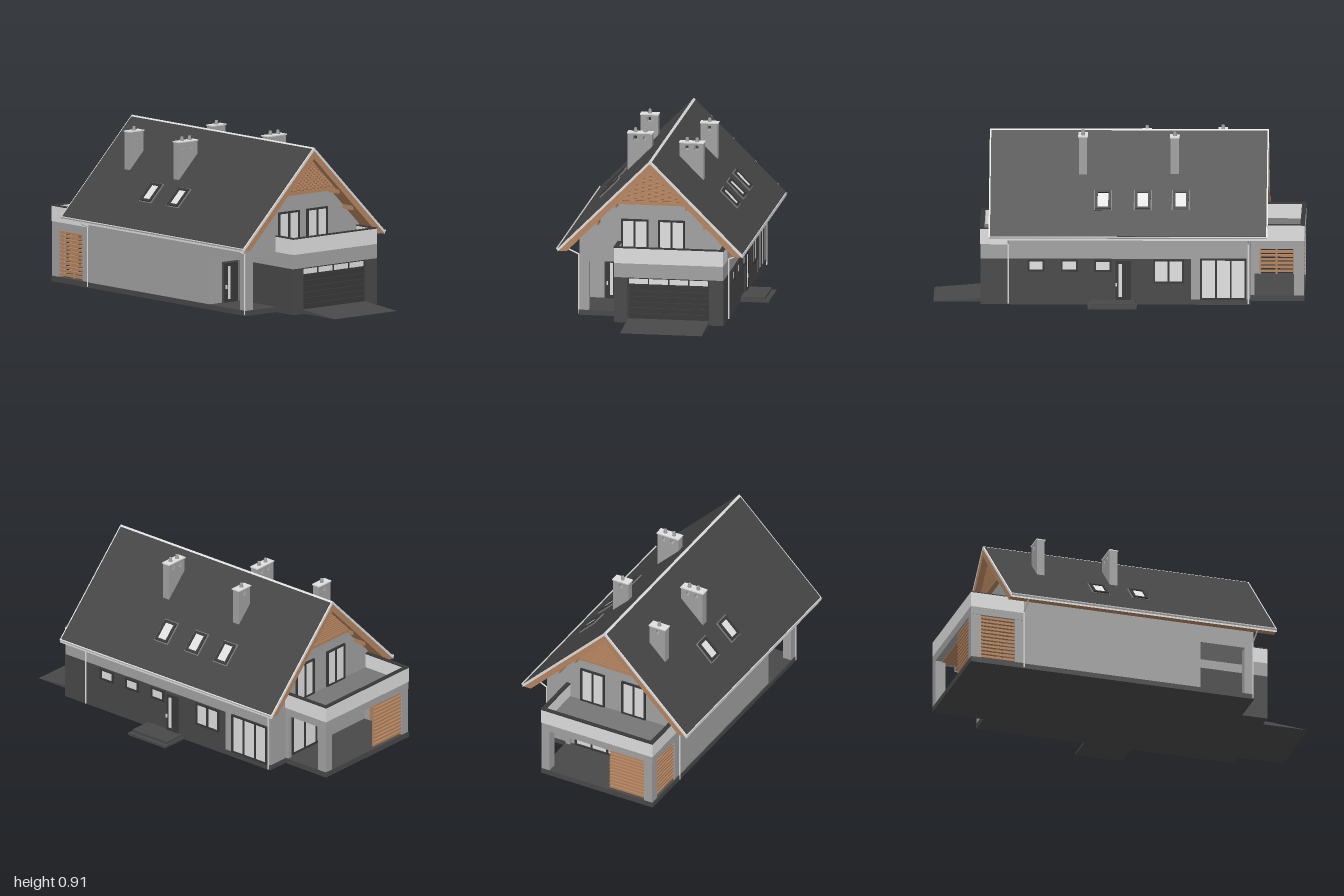
import * as THREE from 'three';

const mat = (name, color, side = THREE.FrontSide) => {
  const m = new THREE.MeshStandardMaterial({ color, side });
  m.name = name;
  return m;
};

export function createModel() {
  const house = new THREE.Group();
  house.name = 'house';
  const wall = mat('grey render', 0xa2a2a2);
  const dark = mat('dark cladding', 0x484848);
  const roofMat = mat('roof covering', 0x444444);
  const frame = mat('dark frame', 0x383838);
  const light = mat('light metal', 0xdedede, THREE.DoubleSide);
  const glass = mat('pale glass', 0xe0e0e0);
  const wood = mat('wood', 0xb58560);
  const woodDark = mat('shaded wood', 0x6e4d36);
  const deck = mat('deck grey', 0x767676);

  const CX = -0.03, RIDGE = 0.89; // ridge line; both slopes are 45 degrees
  const roofY = x => RIDGE - Math.abs(x - CX);

  const add = (name, geo, m, parent = house) => {
    const mesh = new THREE.Mesh(geo, m);
    mesh.name = name;
    parent.add(mesh);
    return mesh;
  };
  const box = (name, m, x0, x1, y0, y1, z0, z1, parent = house) => {
    const mesh = add(name, new THREE.BoxGeometry(x1 - x0, y1 - y0, z1 - z0), m, parent);
    mesh.position.set((x0 + x1) / 2, (y0 + y1) / 2, (z0 + z1) / 2);
    return mesh;
  };
  const poly = pts => new THREE.Shape(pts.map(p => new THREE.Vector2(...p)));
  const rect = (x0, x1, y0, y1) => poly([[x0, y0], [x1, y0], [x1, y1], [x0, y1]]);
  const prism = (name, m, shape, z0, z1, parent = house) => {
    const mesh = add(name, new THREE.ExtrudeGeometry(shape, { depth: z1 - z0, bevelEnabled: false }), m, parent);
    mesh.position.z = z0;
    return mesh;
  };
  const rod = (name, m, a, b, r) => {
    const p = new THREE.Vector3(...a), q = new THREE.Vector3(...b), d = q.clone().sub(p);
    const mesh = add(name, new THREE.CylinderGeometry(r, r, d.length(), 10), m);
    mesh.position.copy(p).add(q).multiplyScalar(0.5);
    mesh.quaternion.setFromUnitVectors(new THREE.Vector3(0, 1, 0), d.normalize());
  };

  // Framed window with n panes, facing local +z
  const win = (name, w, h, n, x, y, z, ry = 0, bar = 0.01) => {
    const g = new THREE.Group();
    g.name = name;
    g.rotation.order = 'YXZ';
    g.position.set(x, y, z);
    g.rotation.y = ry;
    const s = rect(-w / 2, w / 2, -h / 2, h / 2), pw = (w - bar) / n;
    for (let i = 0; i < n; i++) {
      const x0 = -w / 2 + bar + i * pw;
      s.holes.push(rect(x0, x0 + pw - bar, -h / 2 + bar, h / 2 - bar));
    }
    prism(name + 'Frame', frame, s, -0.004, 0.01, g);
    box(name + 'Glass', glass, -w / 2 + 0.004, w / 2 - 0.004, -h / 2 + 0.004, h / 2 - 0.004, -0.002, 0.004, g);
    house.add(g);
    return g;
  };

  // Plinth, steps and drive
  box('plinth', dark, -0.435, 0.379, 0, 0.028, -0.712, 0.603);
  box('terraceFloor', dark, -0.435, 0.253, 0, 0.03, -1, -0.7);
  box('garagePlinth', dark, -0.22, 0.379, 0, 0.02, 0.6, 0.745);
  box('sideStepUpper', dark, 0.37, 0.51, 0.012, 0.026, -0.09, 0.155);
  box('sideStepLower', dark, 0.37, 0.535, 0, 0.013, -0.1, 0.165);
  const ramp = prism('driveway', dark, poly([[-1, 0], [-0.735, 0], [-0.735, 0.022]]), 0, 0.445);
  ramp.rotation.y = Math.PI / 2;
  ramp.position.set(-0.145, 0, 0);

  // Ground floor walls, with the open porch at the front corner
  box('groundFloor', wall, -0.43, 0.375, 0.02, 0.33, -0.71, 0.3);
  box('garageUpperBand', wall, -0.22, 0.377, 0.25, 0.33, 0.3, 0.745);
  box('garageBody', dark, -0.219, 0.376, 0.01, 0.25, 0.3, 0.725);
  box('garagePierRight', dark, -0.22, -0.145, 0, 0.25, 0.6, 0.745);
  box('garagePierLeft', dark, 0.3, 0.377, 0, 0.25, 0.6, 0.745);
  box('sideCladding', dark, 0.37, 0.379, 0, 0.25, -0.39, 0.744);
  box('porchColumn', wall, -0.43, -0.38, 0.02, 0.31, 0.55, 0.6);
  box('porchCeiling', wall, -0.43, -0.21, 0.3, 0.34, 0.29, 0.6);

  // Upper floor with gables
  prism('upperFloor', wall, poly([[-0.43, 0.32], [0.375, 0.32], [0.375, 0.428], [CX, 0.833], [-0.43, 0.433]]), -0.71, 0.6);

  // Garage door
  for (let i = 0; i < 6; i++) box('garageDoorPanel', frame, -0.143, 0.298, 0.022 + i * 0.031, 0.05 + i * 0.031, 0.72, 0.733);
  win('garageDoorLight', 0.445, 0.042, 4, 0.0775, 0.228, 0.725, 0, 0.006);

  // Front and side entrance doors
  const door = (name, w, h, x, y, z, ry) => {
    const g = new THREE.Group();
    g.name = name;
    g.position.set(x, y, z);
    g.rotation.y = ry;
    box(name + 'Frame', dark, -w / 2, w / 2, 0, h, -0.002, 0.008, g);
    box(name + 'Leaf', frame, -w / 2 + 0.008, w / 2 - 0.008, 0, h - 0.008, 0, 0.012, g);
    box(name + 'Glass', glass, -0.024, -0.006, 0.018, h - 0.025, 0.01, 0.014, g);
    box(name + 'Handle', light, -0.04, -0.034, 0.075, 0.095, 0.01, 0.02, g);
    house.add(g);
  };
  door('frontDoor', 0.11, 0.222, -0.287, 0.028, 0.3, 0);
  door('sideDoor', 0.1, 0.222, -0 + 0.377, 0.026, -0.025, Math.PI / 2);

  // Windows
  const R = Math.PI / 2;
  [0.445, 0.265, 0.085].forEach(z => win('smallSideWindow', 0.092, 0.065, 1, 0.378, 0.213, z, R));
  win('sideWindow', 0.165, 0.13, 2, 0.378, 0.183, -0.27, R);
  win('sidePatioWindow', 0.25, 0.225, 3, 0.375, 0.14, -0.565, R);
  [-0.128, 0.072].forEach(x => win('balconyDoor', 0.147, 0.21, 2, x, 0.436, 0.6));
  [-0.16, 0.093].forEach(x => win('terraceDoor', 0.147, 0.21, 2, x, 0.436, -0.71, Math.PI));
  win('patioDoor', 0.3, 0.235, 3, 0.05, 0.148, -0.71, Math.PI);

  // Balcony parapets: light panels with a dark coping
  const parapet = (x0, x1, z0, z1) => {
    box('parapet', light, x0, x1, 0.328, 0.412, z0, z1);
    box('parapetCoping', frame, x0 - 0.002, x1 + 0.002, 0.412, 0.417, z0 - 0.002, z1 + 0.002);
  };
  parapet(-0.22, 0.377, 0.727, 0.747);
  parapet(-0.22, -0.2, 0.6, 0.727);
  parapet(0.357, 0.377, 0.6, 0.727);
  box('balconyDeck', deck, -0.2, 0.357, 0.328, 0.334, 0.6, 0.727);
  parapet(-0.433, 0.253, -1, -0.98);
  parapet(-0.433, -0.413, -0.98, -0.7);
  parapet(0.233, 0.253, -0.98, -0.7);

  // Covered rear terrace
  box('terraceSlab', wall, -0.432, 0.252, 0.285, 0.328, -0.998, -0.7);
  box('terraceDeck', deck, -0.413, 0.233, 0.326, 0.333, -0.98, -0.7);
  box('terraceCeiling', wood, -0.4, 0.22, 0.28, 0.286, -0.96, -0.71);
  [[0.202, -0.998], [-0.43, -0.998]].forEach(([x, z]) => box('terraceColumn', wall, x, x + 0.05, 0.02, 0.29, z, z + 0.055));
  box('terracePilaster', wall, 0.225, 0.25, 0.02, 0.29, -0.73, -0.7);
  box('terracePilaster', wall, -0.43, -0.405, 0.02, 0.29, -0.75, -0.7);
  for (let i = 0; i < 12; i++) {
    const y = 0.038 + i * 0.021;
    box('sideScreenSlat', wood, -0.425, -0.413, y, y + 0.013, -0.945, -0.74);
    box('rearScreenSlat', wood, -0.385, -0.165, y, y + 0.013, -0.99, -0.978);
  }
  [-0.385, -0.28, -0.177].forEach(x => box('rearScreenPost', wood, x, x + 0.012, 0.03, 0.288, -0.978, -0.968));
  [-0.94, -0.845, -0.755].forEach(z => box('sideScreenPost', wood, -0.413, -0.405, 0.03, 0.288, z, z + 0.01));

  // Roof: light edge layer, dark slopes, wooden underside
  const chevron = (w, a, b, wi = w) => poly([
    [CX - w, RIDGE - a - w], [CX - wi, RIDGE - b - wi], [CX, RIDGE - b],
    [CX + wi, RIDGE - b - wi], [CX + w, RIDGE - a - w], [CX, RIDGE - a]]);
  prism('roofEdge', light, chevron(0.505, 0, 0.018), -0.805, 0.7);
  prism('roofSoffit', wood, chevron(0.5, 0.017, 0.062, 0.455), -0.803, 0.698);
  for (const s of [-1, 1]) {
    const x = d => CX + s * d;
    prism('roofSlope', roofMat, poly([
      [x(0.01), RIDGE - 0.012], [x(0.502), RIDGE - 0.504],
      [x(0.502), RIDGE - 0.499], [x(0.01), RIDGE - 0.007]]), -0.797, 0.692);

    // Gutter and downpipes
    const gutter = add('gutter', new THREE.CylinderGeometry(0.011, 0.011, 1.5, 12, 1, true, -Math.PI / 2, Math.PI), light);
    gutter.rotation.x = Math.PI / 2;
    gutter.position.set(x(0.502), 0.388, -0.052);
    const wx = s < 0 ? -0.436 : 0.383;
    for (const z of [0.595, -0.7]) {
      rod('downpipeElbow', light, [x(0.5), 0.378, z], [wx, 0.335, z], 0.004);
      rod('downpipe', light, [wx, 0.337, z], [wx, 0.005, z], 0.004);
    }
    // Purlin ends under the overhangs
    for (const d of [0.192, 0.292]) for (const [z0, z1] of [[0.59, 0.68], [-0.785, -0.7]])
      box('purlin', wood, x(d) - 0.005, x(d) + 0.005, RIDGE - d - 0.082, RIDGE - d - 0.04, z0, z1);
  }

  // Slatted gable screens at both ends
  for (const [z, s] of [[0.65, 1], [-0.755, -1]]) {
    prism('gableBacking', woodDark, poly([[CX - 0.19, 0.64], [CX + 0.19, 0.64], [CX, 0.83]]), z - 0.004, z + 0.004);
    const [z0, z1] = s > 0 ? [z, z + 0.014] : [z - 0.014, z];
    box('gableBeam', wood, CX - 0.195, CX + 0.195, 0.636, 0.655, z - 0.014, z + 0.014);
    for (let y = 0.659; y < 0.82; y += 0.0125) {
      const w = 0.832 - y;
      box('gableSlat', wood, CX - w, CX + w, y, y + 0.0095, z0, z1);
    }
  }

  // Roof windows
  const skylight = (s, x, z) => {
    const g = win('skylight', 0.085, 0.122, 1, x, roofY(x) + 0.008, z, s * R, 0.014);
    g.rotation.x = -Math.PI / 4;
    box('skylightFlashing', deck, -0.049, 0.049, -0.067, 0.067, -0.01, 0.003, g);
  };
  [0.085, -0.13, -0.335].forEach(z => skylight(1, 0.31, z));
  [-0.03, -0.255].forEach(z => skylight(-1, -0.365, z));

  // Chimneys with vent openings, cap plate and pots
  const chimney = (x0, x1, z, top, n) => {
    const mid = (x0 + x1) / 2, base = Math.min(roofY(x0), roofY(x1)) - 0.03;
    const offs = n > 1 ? [-0.027, 0.027] : [0];
    const s = rect(x0, x1, base, top);
    offs.forEach(o => s.holes.push(rect(mid + o - 0.01, mid + o + 0.01, top - 0.037, top - 0.012)));
    prism('chimney', wall, s, z - 0.022, z + 0.022);
    box('chimneyCap', light, x0 - 0.004, x1 + 0.004, top, top + 0.006, z - 0.026, z + 0.026);
    offs.forEach(o => {
      const pot = add('chimneyPot', new THREE.CylinderGeometry(0.008, 0.011, 0.024, 12), wall);
      pot.position.set(mid + o, top + 0.016, z);
    });
  };
  chimney(0.055, 0.185, 0.195, 0.88, 2);
  chimney(0.09, 0.183, -0.3, 0.875, 1);
  chimney(-0.283, -0.15, -0.145, 0.842, 2);
  chimney(-0.278, -0.183, -0.555, 0.85, 1);

  return house;
}
